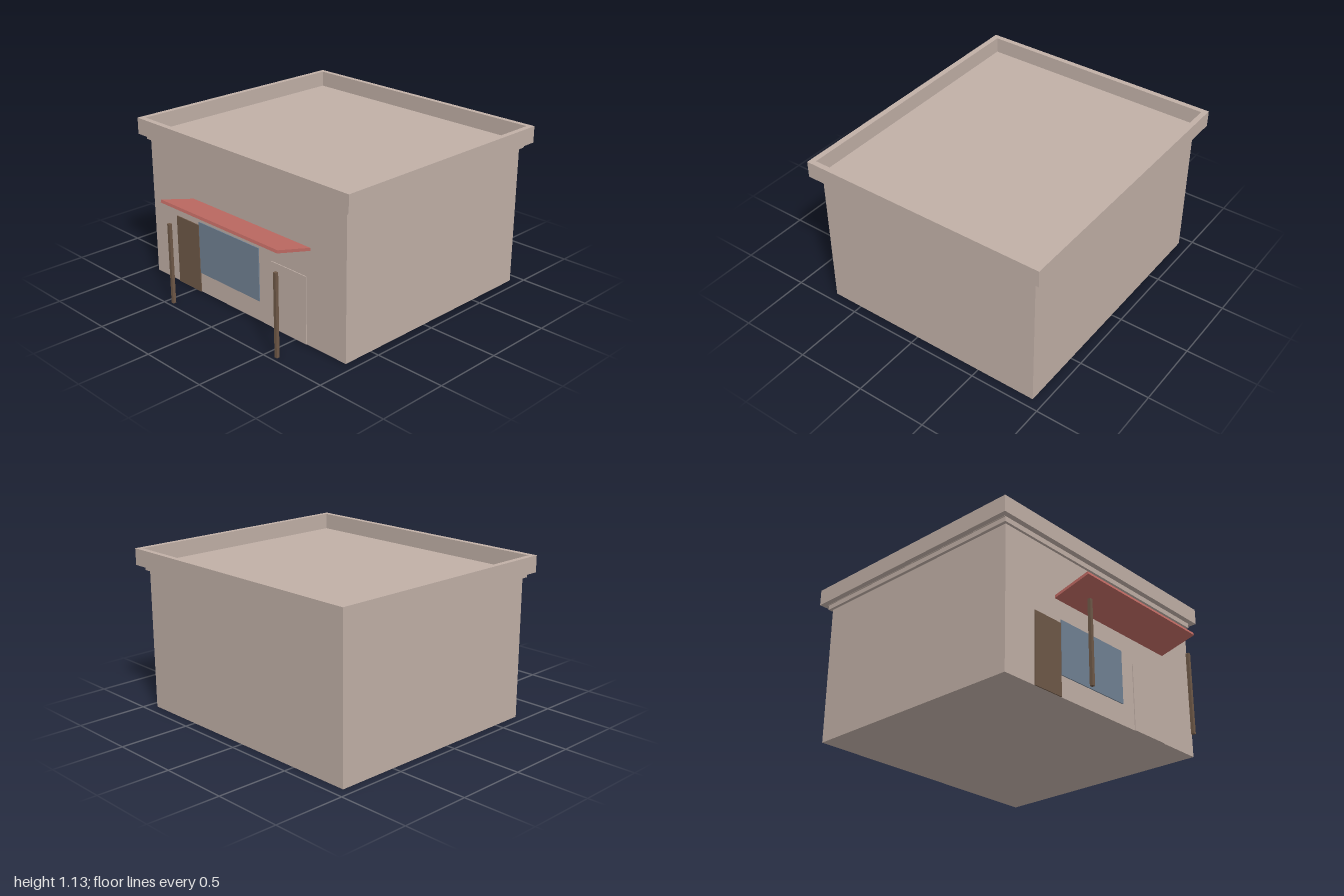
import * as THREE from 'three';

const mat = (name, color, extra) => {
  const m = new THREE.MeshStandardMaterial({ color });
  m.name = name;
  return m;
};

export function createModel() {
  const group = new THREE.Group();
  group.name = 'shop';
  const stucco = mat('stucco', 0xc0afa6);
  const wood = mat('brownWood', 0x6e5847);
  const glass = mat('blueGlass', 0x718193);
  const red = mat('awningRed', 0xbf6a63);

  const add = (name, geometry, material) => {
    const mesh = new THREE.Mesh(geometry, material);
    mesh.name = name;
    group.add(mesh);
    return mesh;
  };
  // Box given by its limits on each axis
  const box = (name, material, x0, x1, y0, y1, z0, z1) => {
    const mesh = add(name, new THREE.BoxGeometry(x1 - x0, y1 - y0, z1 - z0), material);
    mesh.position.set((x0 + x1) / 2, (y0 + y1) / 2, (z0 + z1) / 2);
    return mesh;
  };
  // Closed rectangle outline, with the shape's y running along -z
  const rect = (Type, x, z0, z1) => {
    const r = new Type();
    r.moveTo(-x, -z1).lineTo(x, -z1).lineTo(x, -z0).lineTo(-x, -z0).closePath();
    return r;
  };

  // Walls and the stepped trim, whose top is the flat roof
  box('walls', stucco, -0.935, 0.935, 0, 0.985, -0.925, 0.72);
  box('roofTrim', stucco, -0.957, 0.957, 0.985, 1.02, -0.946, 0.738);

  // Parapet ring around the roof
  const ring = rect(THREE.Shape, 1, -0.99, 0.775);
  ring.holes.push(rect(THREE.Path, 0.962, -0.953, 0.735));
  const parapet = add('parapet',
    new THREE.ExtrudeGeometry(ring, { depth: 0.115, bevelEnabled: false }), stucco);
  parapet.rotation.x = -Math.PI / 2;
  parapet.position.y = 1.02;
  // Roof deck closes the opening inside the parapet
  box('roofDeck', stucco, -0.963, 0.963, 1.018, 1.023, -0.954, 0.736);

  // Front openings as thin plates
  box('door', wood, -0.68, -0.445, 0, 0.495, 0.72, 0.727);
  box('window', glass, -0.44, 0.16, 0.145, 0.52, 0.72, 0.727);
  box('blankPanel', stucco, 0.28, 0.595, 0, 0.47, 0.72, 0.726);

  // Awning rising away from the wall
  const section = new THREE.Shape([
    [0.712, 0.65], [0.99, 0.721], [0.985, 0.74], [0.712, 0.67],
  ].map(([z, y]) => new THREE.Vector2(-z, y)).reverse());
  const awning = add('awning',
    new THREE.ExtrudeGeometry(section, { depth: 1.12, bevelEnabled: false }), red);
  awning.rotation.y = Math.PI / 2;
  awning.position.x = -0.49;

  // Free-standing posts
  for (const x of [-0.446, 0.583]) {
    box(x > 0 ? 'leftPost' : 'rightPost', wood, x - 0.011, x + 0.011, 0, 0.575, 0.95, 0.972);
  }
  return group;
}
